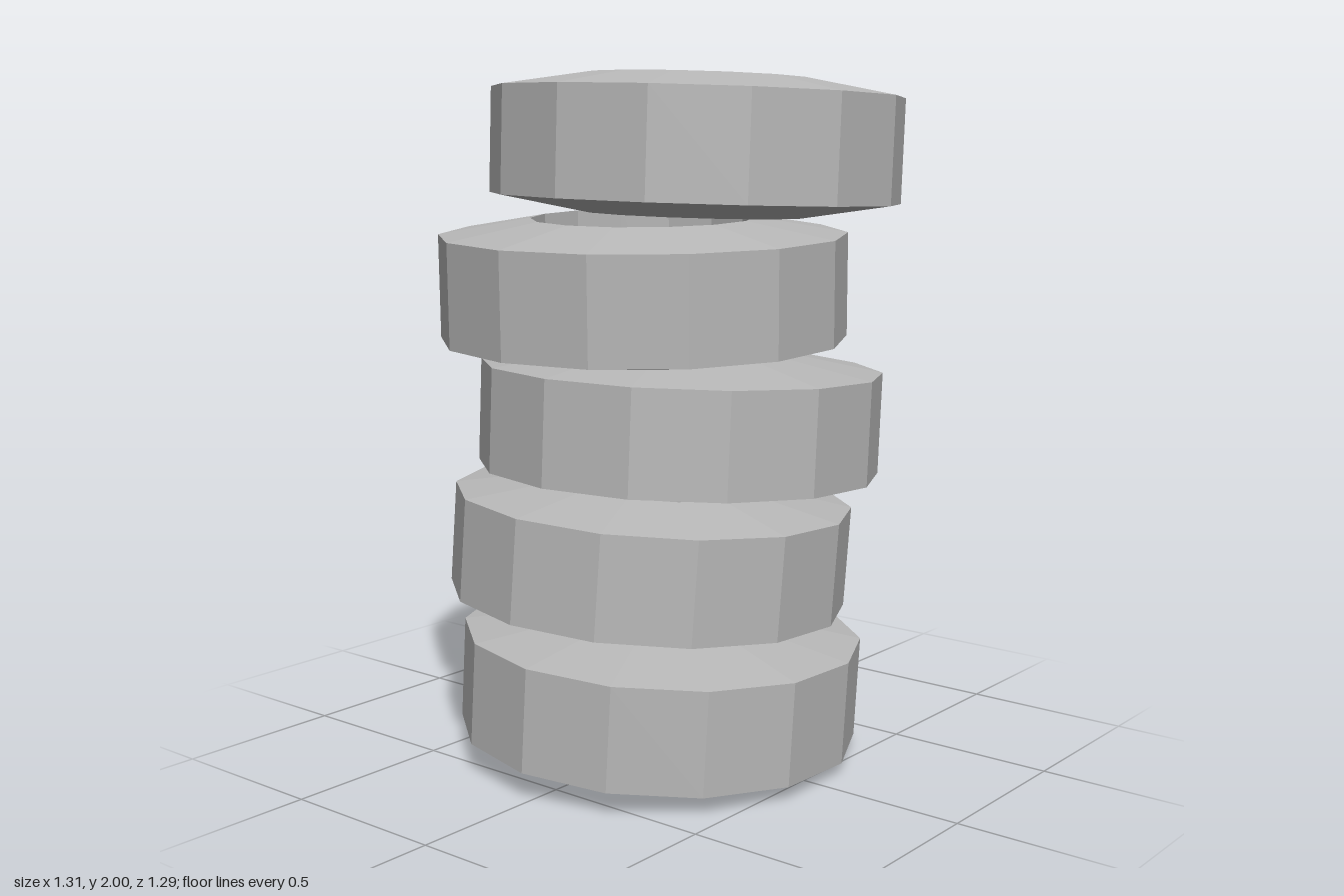
import * as THREE from 'three';

const SIDES = 14;
const OUTER = 0.593, INNER = 0.325;
const WALL = 0.15, RIM = 0.196; // half heights at the tread and at the hole

// One tyre: closed ring profile with sloping sidewalls
function tyreGeometry() {
  const profile = [
    [INNER, -RIM], [OUTER, -WALL], [OUTER, WALL], [INNER, RIM], [INNER, -RIM],
  ].map(([r, y]) => new THREE.Vector2(r, y));
  return new THREE.LatheGeometry(profile, SIDES);
}

export function createModel() {
  const model = new THREE.Group();
  model.name = 'tyreStack';

  const rubber = new THREE.MeshStandardMaterial({ color: 0xb8b8b8, flatShading: true });
  rubber.name = 'greyRubber';

  // Centre x, y, z, then the slope along x and along z, from bottom to top
  const placements = [
    [-0.012, 0.215, 0.022, -0.042, 0.028],
    [-0.07, 0.613, -0.003, -0.048, 0.045],
    [0.008, 1.004, -0.047, -0.014, 0.04],
    [-0.052, 1.395, 0.05, -0.019, -0.033],
    [0.07, 1.796, -0.044, -0.017, 0.026],
  ];

  const geometry = tyreGeometry();
  placements.forEach(([x, y, z, slopeX, slopeZ], i) => {
    const tyre = new THREE.Mesh(geometry, rubber);
    tyre.name = `tyre${i + 1}`;
    tyre.position.set(x, y, z);
    tyre.rotation.set(-slopeZ, 0, slopeX);
    model.add(tyre);
  });

  return model;
}
